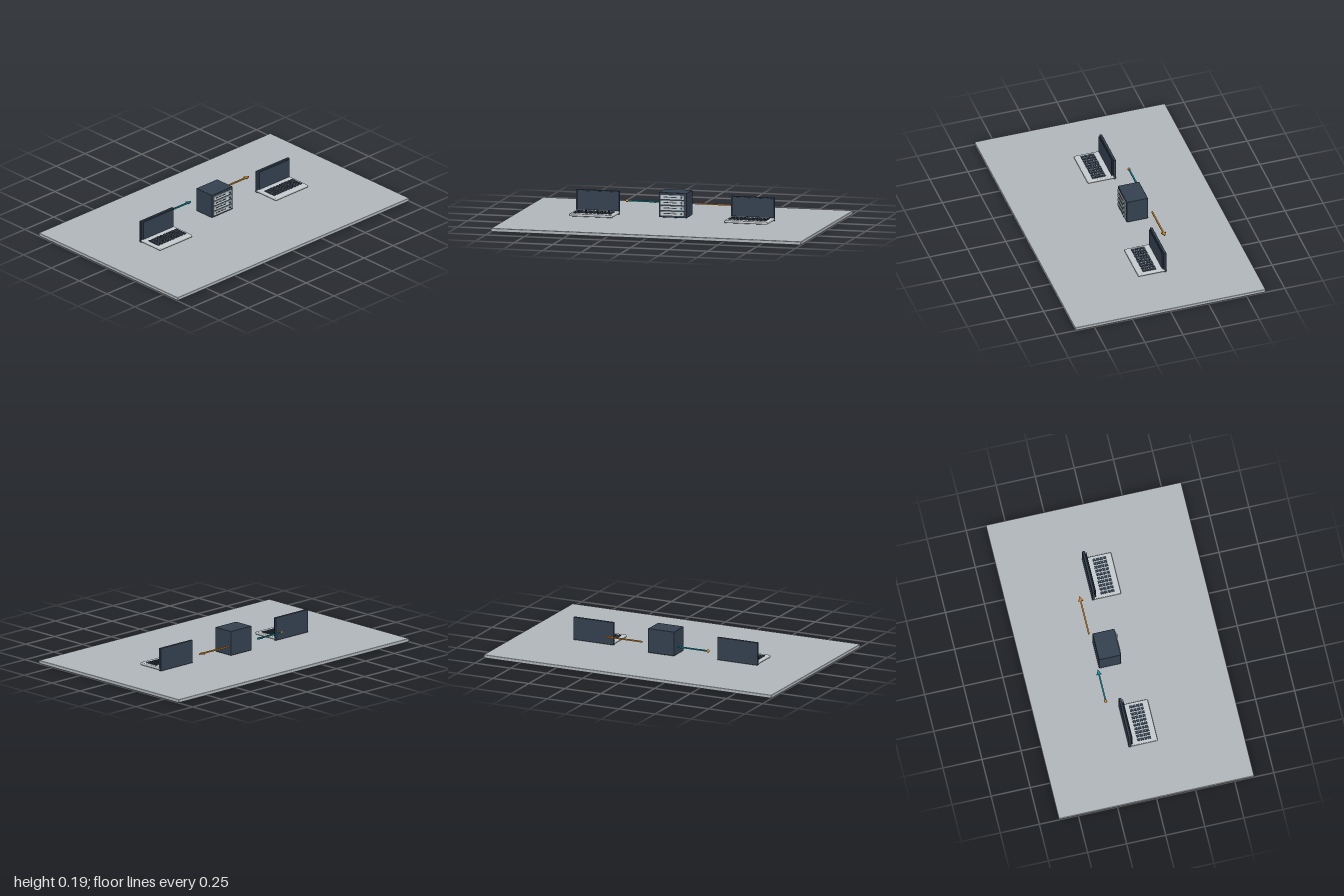
import * as THREE from 'three';
import { RoundedBoxGeometry } from 'three/addons/geometries/RoundedBoxGeometry.js';

const material = (name, color) => {
  const m = new THREE.MeshStandardMaterial({ color });
  m.name = name;
  return m;
};

export function createModel() {
  const model = new THREE.Group();
  model.name = 'networkScene';

  const floorGrey = material('floor grey', 0xb0b6ba);
  const lightGrey = material('light grey', 0xc4cacd);
  const navy = material('dark slate', 0x344150);
  const teal = material('teal', 0x16899c);
  const orange = material('orange', 0xd0842a);

  const add = (parent, name, geometry, mat, x, y, z) => {
    const mesh = new THREE.Mesh(geometry, mat);
    mesh.name = name;
    mesh.position.set(x, y, z);
    parent.add(mesh);
    return mesh;
  };
  const box = (w, h, d) => new THREE.BoxGeometry(w, h, d);

  // Floor slab
  add(model, 'floor', new RoundedBoxGeometry(2, 0.022, 1.25, 2, 0.004), floorGrey, 0, 0.011, 0);

  // Two open laptops
  const keyGeometry = box(0.016, 0.006, 0.0195);
  for (const side of [-1, 1]) {
    const laptop = new THREE.Group();
    laptop.name = side < 0 ? 'rightLaptop' : 'leftLaptop';
    laptop.position.x = side * 0.5;
    model.add(laptop);
    add(laptop, 'laptopBase', new RoundedBoxGeometry(0.28, 0.017, 0.18, 2, 0.006), lightGrey, 0, 0.0375, 0.002);
    add(laptop, 'lid', new RoundedBoxGeometry(0.28, 0.148, 0.016, 2, 0.003), navy, 0, 0.099, -0.085);
    add(laptop, 'screen', box(0.26, 0.12, 0.004), navy, 0, 0.108, -0.07);

    // Keyboard: ten columns by four rows
    const keyboard = new THREE.Group();
    keyboard.name = 'keyboard';
    laptop.add(keyboard);
    for (let c = 0; c < 10; c++) {
      for (let r = 0; r < 4; r++) {
        add(keyboard, 'key', keyGeometry, navy, (c - 4.5) * 0.0248, 0.048, 0.011 + (r - 1.5) * 0.0225);
      }
    }
  }

  // Server cabinet with four drive trays
  const server = new THREE.Group();
  server.name = 'server';
  model.add(server);
  add(server, 'cabinet', new RoundedBoxGeometry(0.18, 0.157, 0.14, 2, 0.003), navy, 0, 0.1085, -0.085);
  for (let i = 0; i < 4; i++) {
    const y = 0.056 + i * 0.0345;
    add(server, 'driveTray', box(0.152, 0.025, 0.008), lightGrey, 0, y, -0.014);
    add(server, 'traySlot', box(0.085, 0.005, 0.002), navy, -0.015, y, -0.0095);
    add(server, 'statusLight', new THREE.SphereGeometry(0.006, 12, 8), teal, 0.058, y, -0.007);
  }

  // Flat arrows pointing along +x
  const arrow = (name, mat, x0, x1) => {
    const group = new THREE.Group();
    group.name = name;
    group.position.set(0, 0.1, -0.17);
    model.add(group);
    const headLength = 0.034;
    const length = x1 - x0 - headLength;
    add(group, 'arrowShaft', box(length, 0.008, 0.009), mat, x0 + length / 2, 0, 0);
    const shape = new THREE.Shape();
    shape.moveTo(0, -0.016);
    shape.lineTo(headLength, 0);
    shape.lineTo(0, 0.016);
    shape.closePath();
    const head = new THREE.ExtrudeGeometry(shape, { depth: 0.008, bevelEnabled: false });
    head.translate(0, 0, -0.004).rotateX(-Math.PI / 2);
    add(group, 'arrowHead', head, mat, x0 + length, 0, 0);
    return group;
  };
  const request = arrow('requestArrow', teal, -0.335, -0.12);
  arrow('replyArrow', orange, 0.122, 0.38);

  // Data packet at the start of the first arrow
  add(request, 'packet', new THREE.SphereGeometry(0.01, 16, 12), orange, -0.335, 0, 0);

  return model;
}
